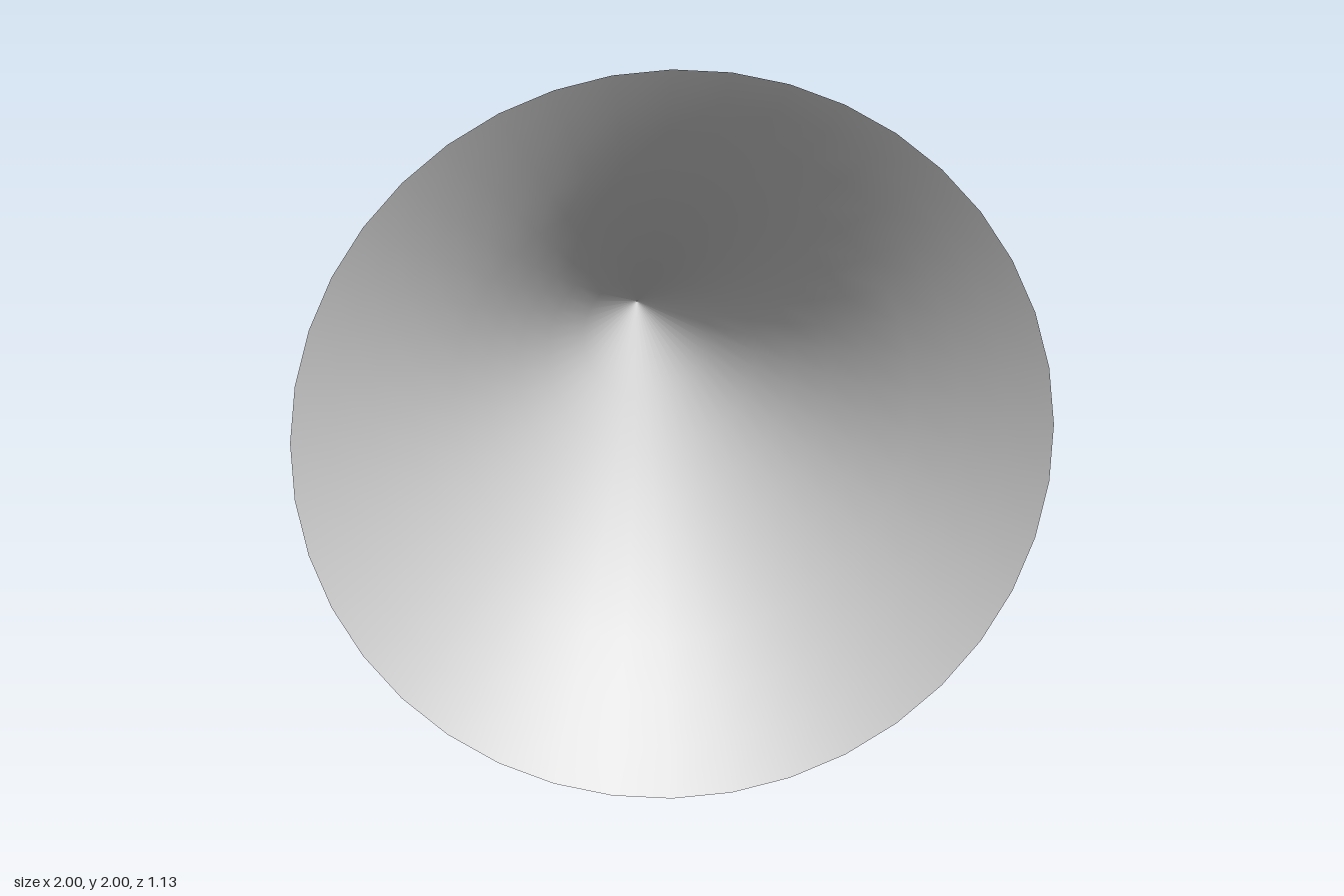
import * as THREE from 'three';

export function createModel() {
  const group = new THREE.Group();
  const material = new THREE.MeshStandardMaterial({ color: 0xcccccc, side: THREE.DoubleSide });

  // Flared profile as radius and distance along the axis, from the tip to the rim
  const profile = [
    [0, -0.565], [0.165, -0.275], [0.275, -0.115], [0.362, 0], [0.45, 0.1],
    [0.542, 0.2], [0.655, 0.305], [0.775, 0.4], [0.885, 0.485], [1, 0.565],
  ].map(([r, z]) => new THREE.Vector2(r, z));

  // Open horn, thin-walled, mouth facing the front and tip to the back
  const geometry = new THREE.LatheGeometry(profile, 40);
  geometry.rotateX(Math.PI / 2);
  const horn = new THREE.Mesh(geometry, material);
  horn.name = 'flaredHorn';
  horn.position.y = 1;
  group.add(horn);

  return group;
}
